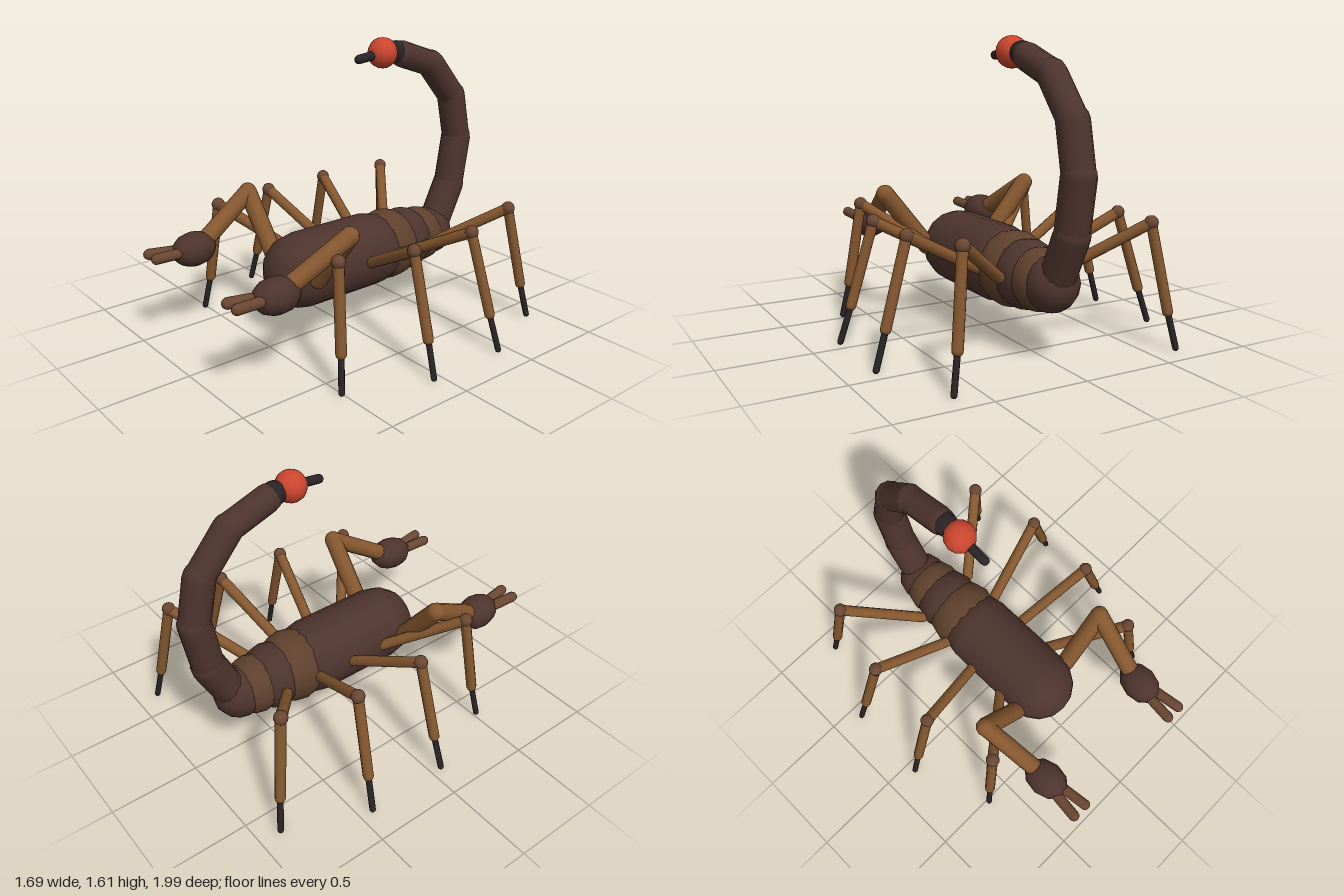
import * as THREE from 'three';

const mat = (name, color) => {
  const m = new THREE.MeshStandardMaterial({ color });
  m.name = name;
  return m;
};

export function createModel() {
  const shell = mat('dark brown shell', 0x4e342e);
  const band = mat('brown band', 0x5f412d);
  const limb = mat('tan limb', 0x85572f);
  const joint = mat('joint brown', 0x6b4733);
  const black = mat('black tip', 0x2a2326);
  const red = mat('red venom bulb', 0xcb462f);

  const model = new THREE.Group();
  model.name = 'scorpion';
  const V = (p) => new THREE.Vector3(...p);
  const UP = new THREE.Vector3(0, 1, 0);

  const add = (name, geo, material, parent = model) => {
    const m = new THREE.Mesh(geo, material);
    m.name = name;
    parent.add(m);
    return m;
  };
  // Round-ended rod whose cap centres sit on a and b
  const rod = (name, a, b, r, material, parent, sides = 10) => {
    const d = V(b).sub(V(a));
    const m = add(name, new THREE.CapsuleGeometry(r, d.length(), 4, sides), material, parent);
    m.position.copy(V(a)).addScaledVector(d, 0.5);
    m.quaternion.setFromUnitVectors(UP, d.normalize());
    return m;
  };
  const ball = (name, p, r, material, parent, w = 12, h = 8) => {
    const m = add(name, new THREE.SphereGeometry(r, w, h), material, parent);
    m.position.set(...p);
    return m;
  };

  // Body and the shrinking rear segments
  rod('body', [0, 0.4, -0.2], [0, 0.4, 0.28], 0.21, shell, model, 16);
  [-0.335, -0.47, -0.59, -0.69].forEach((z, i) => {
    ball('abdomenSegment', [0, 0.4, z], 0.205 - i * 0.02, i % 2 ? shell : band);
  });

  // Curled tail
  const tail = [
    [0, 0.42, -0.73], [0, 0.67, -0.855], [0, 0.96, -0.905],
    [0, 1.22, -0.85], [0, 1.43, -0.67], [0, 1.51, -0.44],
  ];
  for (let i = 0; i < 5; i++) {
    rod('tailSegment', tail[i], tail[i + 1], 0.094 - i * 0.005, shell, model, 12);
  }
  ball('stingerNeck', [0, 1.525, -0.4], 0.064, black);
  ball('venomBulb', [0, 1.53, -0.3], 0.085, red, model, 12, 10);
  rod('stinger', [0, 1.525, -0.25], [0, 1.512, -0.13], 0.025, black);

  // Walking legs: hip, knee, ankle, foot for the left side
  const legs = [
    [[0.19, 0.41, 0.16], [0.545, 0.67, 0.455], [0.61, 0.21, 0.49], [0.645, 0.018, 0.515]],
    [[0.19, 0.41, -0.06], [0.64, 0.65, 0.04], [0.77, 0.21, 0.05], [0.83, 0.018, 0.06]],
    [[0.19, 0.41, -0.28], [0.64, 0.65, -0.38], [0.77, 0.21, -0.41], [0.83, 0.018, -0.425]],
    [[0.19, 0.41, -0.5], [0.545, 0.67, -0.78], [0.61, 0.21, -0.85], [0.645, 0.018, -0.88]],
  ];
  for (const s of [1, -1]) {
    const side = s > 0 ? 'left' : 'right';
    const flip = (p) => [p[0] * s, p[1], p[2]];
    for (const leg of legs) {
      const [hip, knee, ankle, foot] = leg.map(flip);
      const g = new THREE.Group();
      g.name = side + 'Leg';
      model.add(g);
      rod('upperLeg', hip, knee, 0.031, limb, g);
      ball('knee', knee, 0.038, joint, g);
      rod('lowerLeg', knee, ankle, 0.029, limb, g);
      rod('foot', ankle, foot, 0.017, black, g, 8);
    }

    // Pincer arm
    const arm = new THREE.Group();
    arm.name = side + 'PincerArm';
    model.add(arm);
    const elbow = flip([0.455, 0.74, 0.31]);
    rod('upperArm', flip([0.2, 0.42, 0.31]), elbow, 0.052, limb, arm);
    rod('forearm', elbow, flip([0.39, 0.53, 0.66]), 0.05, limb, arm);
    const hand = ball('hand', flip([0.388, 0.512, 0.715]), 1, shell, arm, 10, 8);
    hand.scale.set(0.1, 0.095, 0.135);
    hand.rotation.y = s * -0.08;
    for (const f of [-1, 1]) {
      rod('claw', flip([0.388 + f * 0.025, 0.518, 0.81]), flip([0.388 + f * 0.043, 0.53, 0.965]), 0.03, joint, arm);
    }
  }
  return model;
}
